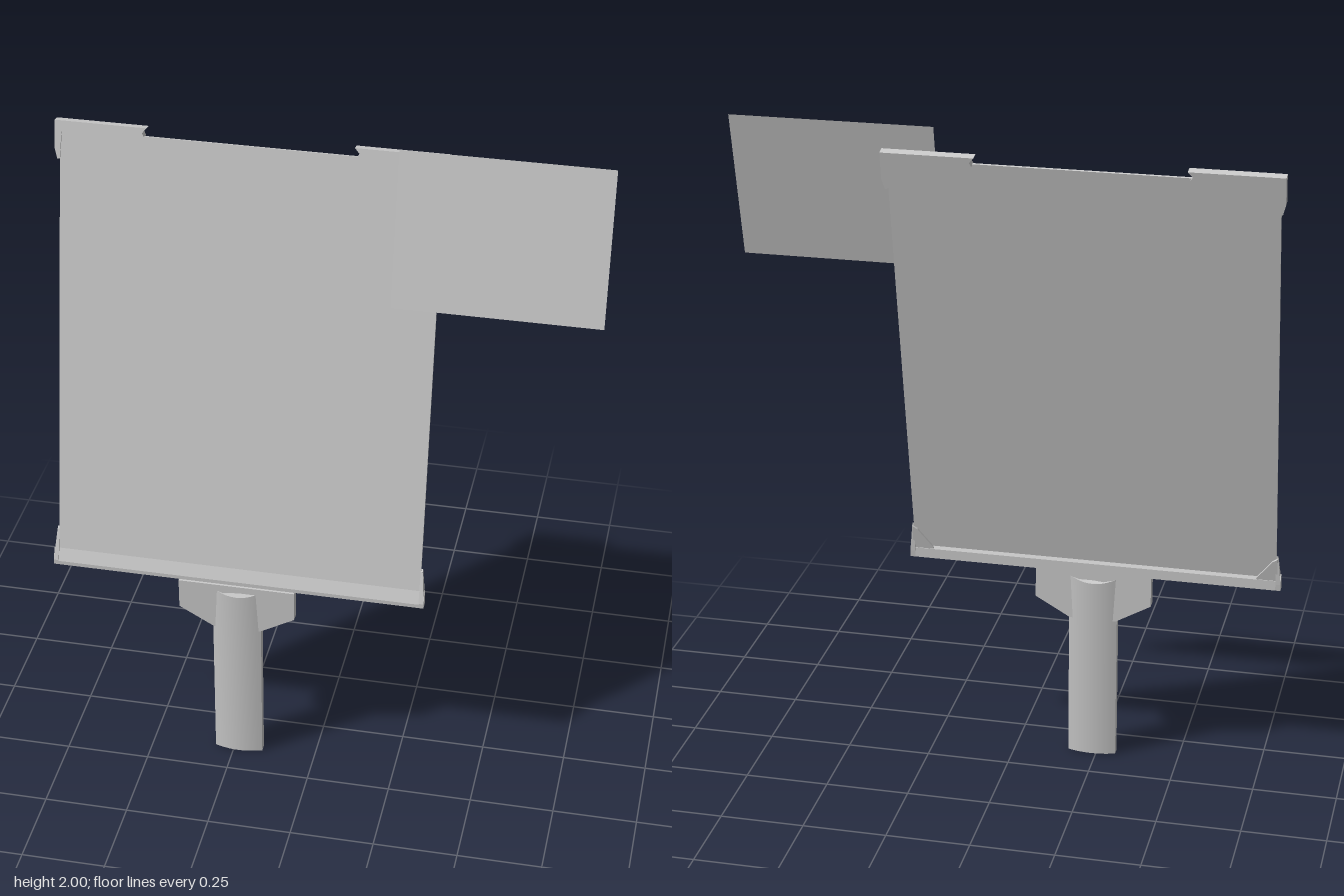
import * as THREE from 'three';
import { toCreasedNormals } from 'three/addons/utils/BufferGeometryUtils.js';

const grey = new THREE.MeshStandardMaterial({ color: 0xcccccc, side: THREE.DoubleSide });

function addMesh(parent, name, geometry) {
  const mesh = new THREE.Mesh(geometry, grey);
  mesh.name = name;
  parent.add(mesh);
  return mesh;
}

// Extrude a polygon from z = back to z = back + depth
function plate(points, back, depth) {
  const shape = new THREE.Shape(points.map(([x, y]) => new THREE.Vector2(x, y)));
  const g = new THREE.ExtrudeGeometry(shape, { depth, bevelEnabled: false });
  g.translate(0, 0, back);
  return g;
}

// Extrude a (z, y) profile sideways between x0 and x1
function rail(points, x0, x1) {
  const g = plate(points.map(([z, y]) => [-z, y]), x0, x1 - x0);
  g.rotateY(Math.PI / 2);
  return g;
}

export function createModel() {
  const model = new THREE.Group();
  const cx = -0.235; // centre line of panel and handle

  // Tilted panel with its two upper corner clips
  const tilted = new THREE.Group();
  tilted.name = 'tiltedPanel';
  tilted.position.set(cx, 0.61, 0.125);
  tilted.rotation.x = -Math.atan(0.2);
  model.add(tilted);
  const panel = new THREE.BoxGeometry(1.092, 1.335, 0.007);
  panel.translate(0, 0.674, 0);
  addMesh(tilted, 'panel', panel);
  for (const s of [-1, 1]) {
    const outline = [
      [0.56, 1.367], [0.295, 1.367], [0.308, 1.352], [0.302, 1.34],
      [0.44, 1.338], [0.515, 1.31], [0.545, 1.255], [0.552, 1.255], [0.56, 1.285],
    ].map(([x, y]) => [x * s, y]);
    addMesh(tilted, s < 0 ? 'rightTopClipBack' : 'leftTopClipBack', plate(outline, -0.018, 0.018));
    const lip = [
      [0.56, 1.367], [0.295, 1.367], [0.308, 1.352], [0.302, 1.34],
      [0.54, 1.335], [0.545, 1.255], [0.552, 1.255], [0.56, 1.285],
    ].map(([x, y]) => [x * s, y]);
    addMesh(tilted, s < 0 ? 'rightTopClipLip' : 'leftTopClipLip', plate(lip, 0, 0.008));
  }

  // Bottom rail with raised ends and small gussets behind the corners
  addMesh(model, 'bottomRail', rail(
    [[0.137, 0.61], [0.137, 0.622], [0.121, 0.66], [0.108, 0.64], [0.108, 0.61]],
    cx - 0.56, cx + 0.56));
  for (const s of [-1, 1]) {
    const inner = cx + s * 0.545, outer = cx + s * 0.56;
    const end = rail(
      [[0.137, 0.61], [0.137, 0.625], [0.108, 0.72], [0.1, 0.725], [0.106, 0.63], [0.108, 0.61]],
      Math.min(inner, outer), Math.max(inner, outer));
    // Narrow the raised end towards its tip
    const p = end.attributes.position;
    for (let i = 0; i < p.count; i++) {
      if (p.getY(i) > 0.7) p.setX(i, cx + s * (Math.abs(p.getX(i) - cx) > 0.55 ? 0.551 : 0.545));
    }
    end.computeVertexNormals();
    addMesh(model, s < 0 ? 'rightRailEnd' : 'leftRailEnd', end);
    addMesh(tilted, s < 0 ? 'rightGusset' : 'leftGusset', plate(
      [[s * 0.55, 0.02], [s * 0.55, 0.11], [s * 0.535, 0.1], [s * 0.49, 0.04], [s * 0.48, 0.02]],
      -0.01, 0.008));
  }

  // Collar where the handle meets the rail
  addMesh(model, 'handleCollar', plate(
    [[-0.175, 0.61], [-0.175, 0.515], [-0.07, 0.455], [0.07, 0.455], [0.175, 0.515], [0.175, 0.61]],
    0.114, 0.03)).position.x = cx;

  // Handle: lens-shaped section, leaning slightly, top rounded off front and back
  const lens = new THREE.Shape();
  lens.moveTo(-0.073, -0.012);
  lens.quadraticCurveTo(0, -0.038, 0.073, -0.012);
  lens.lineTo(0.073, 0.012);
  lens.quadraticCurveTo(0, 0.038, -0.073, 0.012);
  lens.closePath();
  let handle = new THREE.ExtrudeGeometry(lens, { depth: 0.61, bevelEnabled: false, curveSegments: 10 });
  handle.rotateX(-Math.PI / 2);
  const p = handle.attributes.position;
  for (let i = 0; i < p.count; i++) {
    const z = p.getZ(i);
    if (p.getY(i) > 0.5) p.setY(i, 0.61 - Math.abs(z) * 1.3);
    p.setZ(i, z + 0.138 - p.getY(i) * 0.018);
  }
  handle = toCreasedNormals(handle, 0.6);
  addMesh(model, 'handle', handle).position.x = cx;

  // Thin card in front of the upper corner
  const card = new THREE.PlaneGeometry(0.592, 0.45);
  card.rotateX(-Math.atan(0.227));
  addMesh(model, 'card', card).position.set(0.493, 1.78, -0.01);

  return model;
}
